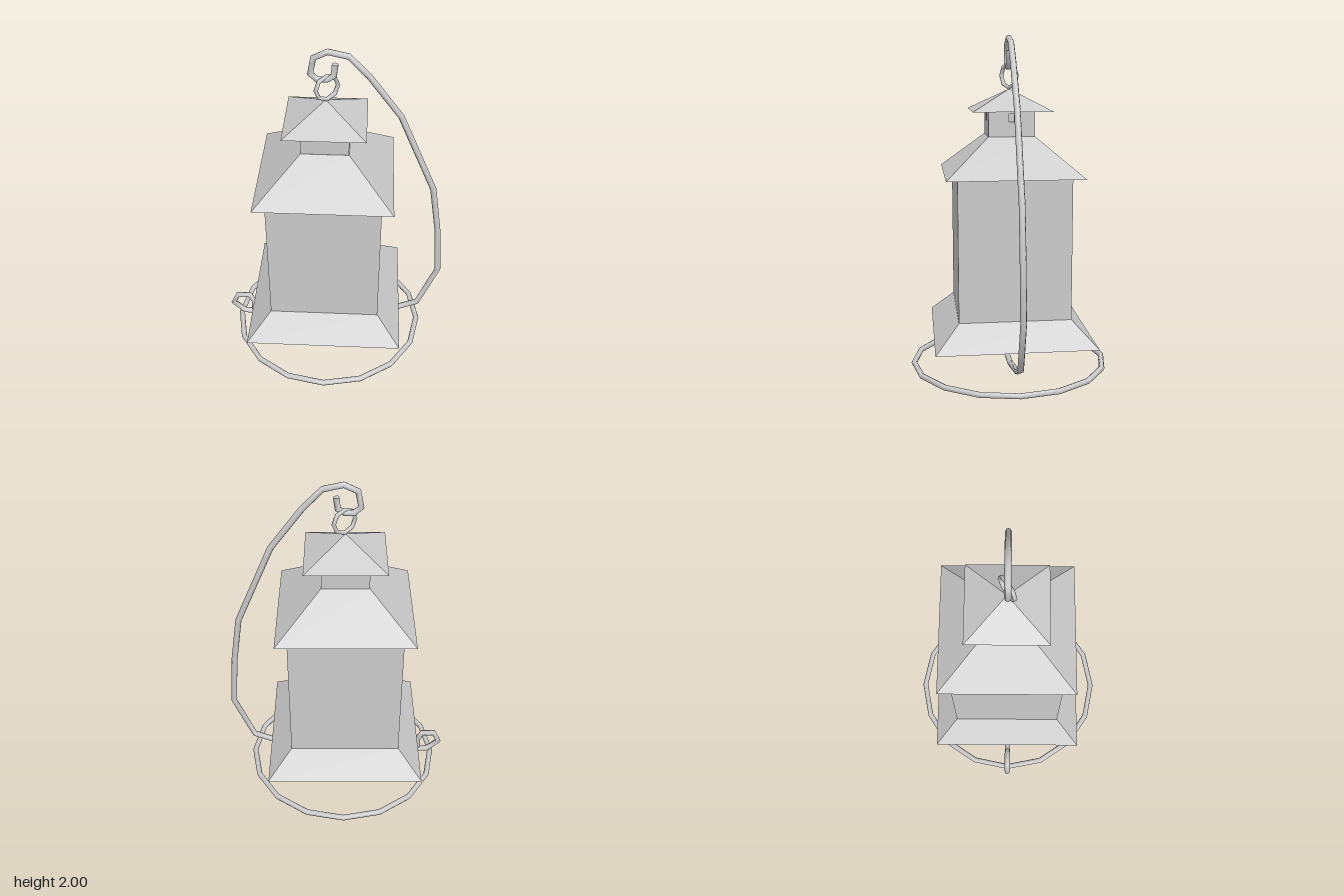
import * as THREE from 'three';

// Straight-segment path with one tube section at each corner
class Polyline extends THREE.Curve {
  constructor(points) {
    super();
    this.points = points;
  }
  getPointAt(u, target = new THREE.Vector3()) {
    return target.copy(this.points[Math.round(u * (this.points.length - 1))]);
  }
  getPoint(u, target) {
    return this.getPointAt(u, target);
  }
  getTangentAt(u, target = new THREE.Vector3()) {
    const p = this.points, last = p.length - 1, i = Math.round(u * last);
    target.set(0, 0, 0);
    if (i > 0) target.add(p[i].clone().sub(p[i - 1]).normalize());
    if (i < last) target.add(p[i + 1].clone().sub(p[i]).normalize());
    return target.normalize();
  }
}

export function createModel() {
  const model = new THREE.Group();
  model.name = 'hangingLantern';
  const metal = new THREE.MeshStandardMaterial({ color: 0xcccccc });
  const sheet = new THREE.MeshStandardMaterial({ color: 0xcccccc, flatShading: true });

  const add = (parent, name, geometry, material) => {
    const mesh = new THREE.Mesh(geometry, material);
    mesh.name = name;
    parent.add(mesh);
    return mesh;
  };

  const lantern = new THREE.Group();
  lantern.name = 'lantern';
  lantern.position.set(-0.043, 0, -0.004);
  model.add(lantern);

  // Square tapered block between two heights, given half widths
  const taper = (name, y0, half0, y1, half1) => {
    const g = new THREE.CylinderGeometry(half1 * Math.SQRT2, half0 * Math.SQRT2, y1 - y0, 4);
    g.rotateY(Math.PI / 4);
    add(lantern, name, g, sheet).position.y = (y0 + y1) / 2;
  };
  taper('flaredBase', 0.23, 0.466, 0.372, 0.326);
  taper('body', 0.37, 0.326, 1.202, 0.326);
  taper('roof', 1.2, 0.392, 1.42, 0.136);
  taper('cap', 1.567, 0.23, 1.69, 0);

  // Vent neck: four thin walls, each with a small window
  const wall = new THREE.Shape();
  wall.moveTo(-0.135, 1.415).lineTo(0.135, 1.415).lineTo(0.135, 1.57).lineTo(-0.135, 1.57).closePath();
  const vent = new THREE.Path();
  vent.moveTo(-0.015, 1.506).lineTo(-0.015, 1.55).lineTo(0.015, 1.55).lineTo(0.015, 1.506).closePath();
  wall.holes.push(vent);
  const wallGeometry = new THREE.ExtrudeGeometry(wall, { depth: 0.01, bevelEnabled: false });
  wallGeometry.translate(0, 0, 0.125);
  for (let i = 0; i < 4; i++) {
    add(lantern, 'ventWall', wallGeometry, sheet).rotation.y = i * Math.PI / 2;
  }

  // Hanging ring, turned out of the plane of the hook
  const ring = add(model, 'hangingRing', new THREE.TorusGeometry(0.07, 0.012, 8, 8), metal);
  ring.position.set(-0.037, 1.766, -0.002);
  ring.rotation.y = 0.58;

  // Round foot of the stand
  const footGeometry = new THREE.TorusGeometry(0.582, 0.017, 8, 16);
  footGeometry.rotateX(Math.PI / 2);
  add(model, 'footRing', footGeometry, metal).position.set(-0.033, 0.03, 0);

  // Bent rod: hook, arched arm, floor bar and curled toe
  const path = [
    [0.008, 1.91], [0, 1.84], [-0.035, 1.818], [-0.087, 1.816], [-0.126, 1.85],
    [-0.108, 1.945], [-0.032, 1.982], [0.08, 1.957], [0.19, 1.843], [0.373, 1.597],
    [0.585, 1.105], [0.632, 0.8], [0.659, 0.475], [0.545, 0.18], [0.394, 0.114],
    [0.06, 0.036], [-0.25, 0.02], [-0.595, 0.044], [-0.664, 0.114], [-0.632, 0.183],
    [-0.553, 0.183], [-0.527, 0.125], [-0.53, 0.063],
  ].map(([x, y]) => new THREE.Vector3(x, y, 0));
  const curve = new Polyline(path);
  const radius = 0.018;
  add(model, 'standRod', new THREE.TubeGeometry(curve, path.length - 1, radius, 8), metal);

  // Flat ends of the rod
  for (const [u, sign] of [[0, -1], [1, 1]]) {
    const end = add(model, 'rodEnd', new THREE.CircleGeometry(radius, 8), metal);
    end.position.copy(curve.getPointAt(u));
    const outward = curve.getTangentAt(u).multiplyScalar(sign);
    end.quaternion.setFromUnitVectors(new THREE.Vector3(0, 0, 1), outward);
  }

  return model;
}
